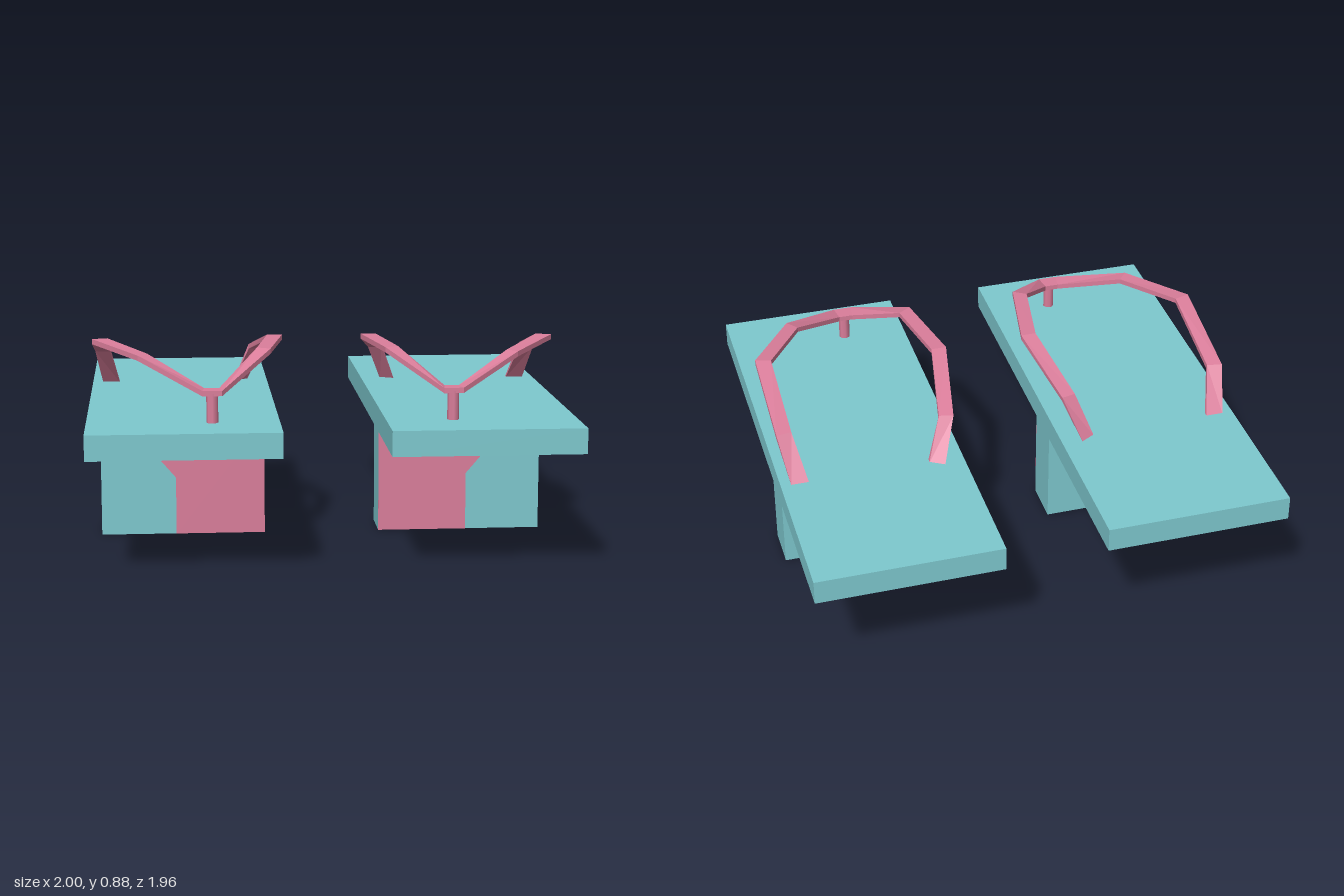
import * as THREE from 'three';

const teal = new THREE.MeshStandardMaterial({ color: 0x7ec9cf });
teal.name = 'teal';
const pink = new THREE.MeshStandardMaterial({ color: 0xdb7e9b });
pink.name = 'pink';

// Strap stations for the left sandal:
// outer edge x, z; inner edge x, z; top height; underside offset y, z
const STRAP = [
  [0.955, -0.33, 0.88, -0.33, 0.6, 0, 0.02],
  [0.985, -0.21, 0.92, -0.2, 0.78, -0.02, 0.01],
  [0.985, 0.23, 0.92, 0.21, 0.877, -0.022, 0],
  [0.79, 0.53, 0.75, 0.48, 0.85, -0.022, 0],
  [0.53, 0.76, 0.52, 0.69, 0.738, -0.022, 0],
  [0.45, 0.76, 0.46, 0.69, 0.738, -0.022, 0],
  [0.24, 0.485, 0.295, 0.45, 0.866, -0.022, 0],
  [0.17, 0.115, 0.235, 0.115, 0.872, -0.022, 0],
  [0.24, -0.265, 0.3, -0.25, 0.778, -0.02, 0.01],
  [0.305, -0.365, 0.365, -0.33, 0.6, 0, 0.02],
];

// Flat band swept through the stations; s mirrors it across x
function strapGeometry(s) {
  const pos = [];
  const index = [];
  const quad = (a, b, c, d) =>
    index.push(...(s > 0 ? [a, b, c, a, c, d] : [a, c, b, a, d, c]));
  for (const [ox, oz, ix, iz, y, dy, dz] of STRAP) {
    pos.push(s * ox, y, oz, s * ix, y, iz);
    pos.push(s * ix, y + dy, iz + dz, s * ox, y + dy, oz + dz);
  }
  for (let i = 0; i < STRAP.length - 1; i++) {
    for (let k = 0; k < 4; k++) {
      const a = i * 4 + k;
      const b = i * 4 + ((k + 1) % 4);
      quad(a, b, b + 4, a + 4);
    }
  }
  const e = (STRAP.length - 1) * 4;
  quad(3, 2, 1, 0);
  quad(e, e + 1, e + 2, e + 3);
  const g = new THREE.BufferGeometry();
  g.setAttribute('position', new THREE.Float32BufferAttribute(pos, 3));
  g.setIndex(index);
  const flat = g.toNonIndexed();
  flat.computeVertexNormals();
  return flat;
}

// Painted panel on the front of the support
function panelGeometry(s) {
  const pts = [[0.25, 0], [0.636, 0], [0.636, 0.25], [0.85, 0.5], [0.25, 0.5]];
  const shape = new THREE.Shape(pts.map(([x, y]) => new THREE.Vector2(s * x, y)));
  return new THREE.ExtrudeGeometry(shape, { depth: 0.002, bevelEnabled: false });
}

function createSandal(s) {
  const sandal = new THREE.Group();
  sandal.name = s > 0 ? 'leftSandal' : 'rightSandal';
  const add = (name, geometry, material, x, y, z) => {
    const mesh = new THREE.Mesh(geometry, material);
    mesh.name = name;
    mesh.position.set(x, y, z);
    sandal.add(mesh);
  };
  add('sole', new THREE.BoxGeometry(0.784, 0.105, 1.96), teal, s * 0.608, 0.5525, 0);
  add('support', new THREE.BoxGeometry(0.71, 0.5, 0.19), teal, s * 0.605, 0.25, 0.035);
  add('supportPanel', panelGeometry(s), pink, 0, 0, 0.13);
  add('strap', strapGeometry(s), pink, 0, 0, 0);
  add('toePost', new THREE.CylinderGeometry(0.024, 0.024, 0.13, 8), pink, s * 0.49, 0.66, 0.738);
  return sandal;
}

export function createModel() {
  const model = new THREE.Group();
  model.name = 'sandals';
  model.add(createSandal(1), createSandal(-1));
  return model;
}
